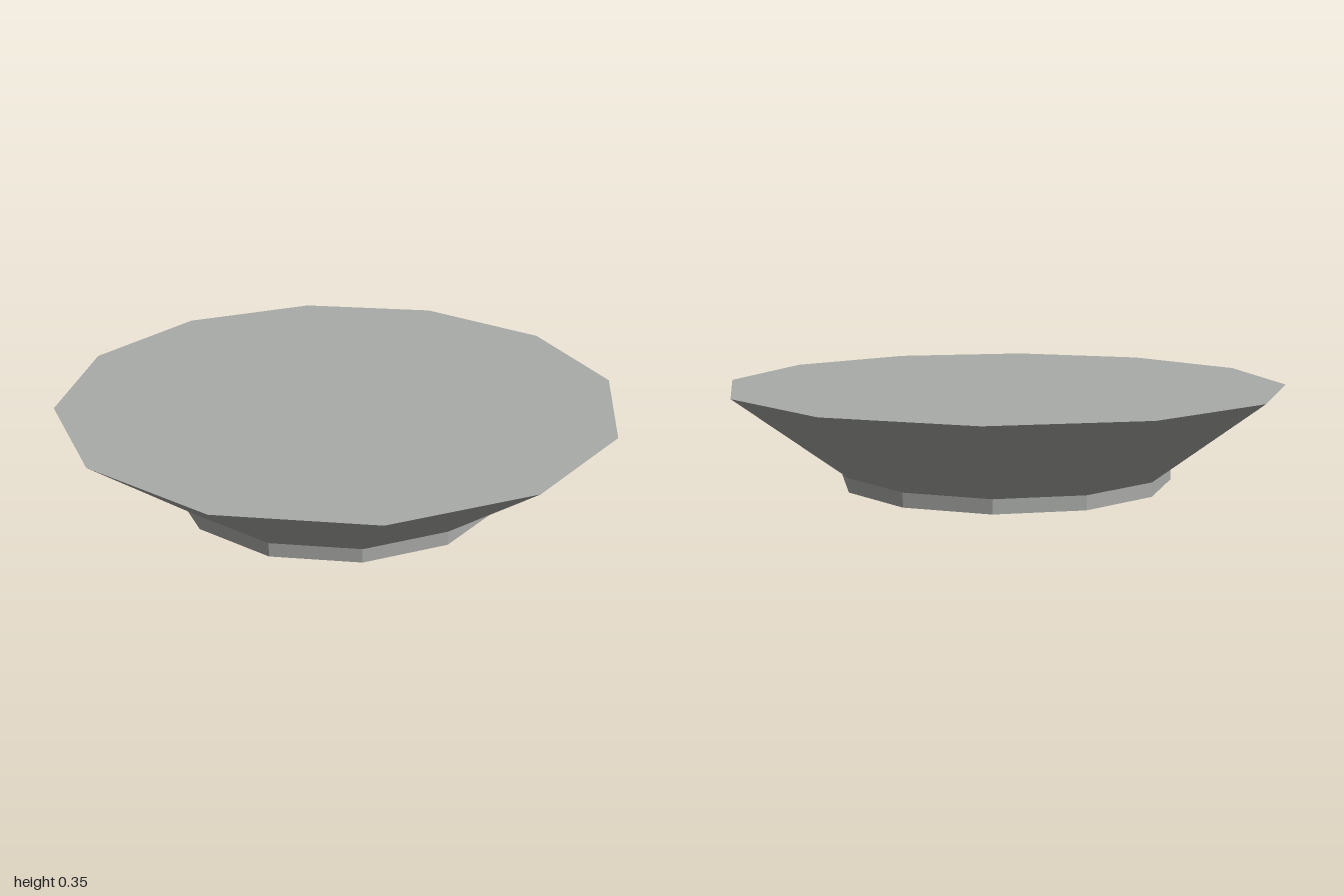
import * as THREE from 'three';

const SIDES = 12;

export function createModel() {
  const model = new THREE.Group();
  model.name = 'flaredDish';

  const stoneGrey = new THREE.MeshStandardMaterial({ color: 0xa9aba8 });
  stoneGrey.name = 'stoneGrey';
  stoneGrey.flatShading = true;

  // Adds a twelve-sided solid ring section standing between two heights
  function addTier(name, topRadius, bottomRadius, bottomY, topY) {
    const height = topY - bottomY;
    const tier = new THREE.Mesh(
      new THREE.CylinderGeometry(topRadius, bottomRadius, height, SIDES),
      stoneGrey
    );
    tier.name = name;
    tier.position.y = bottomY + height / 2;
    model.add(tier);
  }

  // Short straight foot
  addTier('foot', 0.6, 0.6, 0, 0.05);
  // Wide flared body with a flat closed top
  addTier('flaredBody', 1, 0.6, 0.05, 0.35);

  return model;
}
